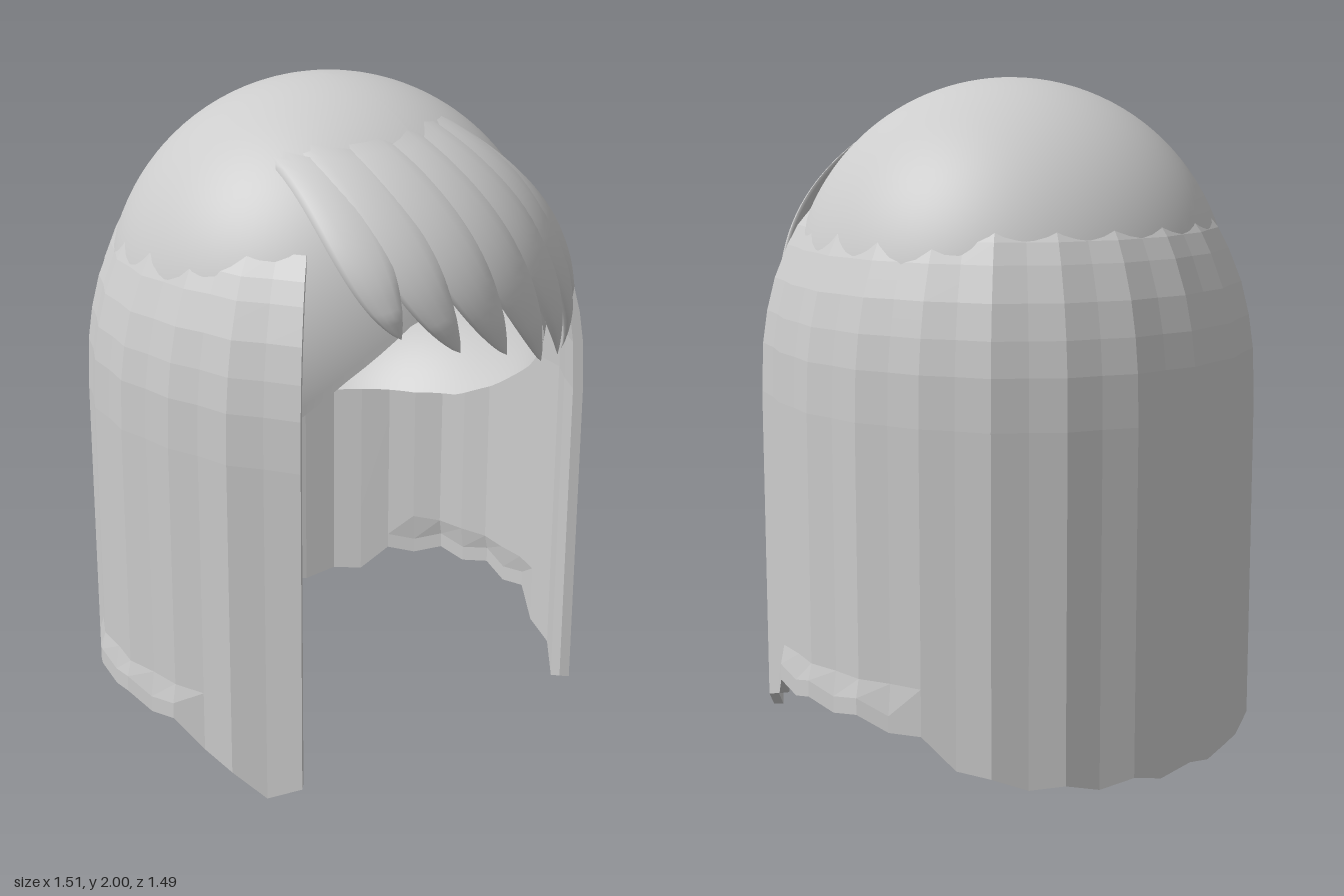
import * as THREE from 'three';

const hairGrey = new THREE.MeshStandardMaterial({ color: 0xcccccc, side: THREE.DoubleSide });
hairGrey.name = 'hair grey';

const CY = 1.33, R = 0.67; // centre height and radius of the skull cap

// Piecewise-linear lookup in a list of [key, value] pairs
function lookup(pairs, k) {
  for (let i = 1; i < pairs.length; i++) {
    const [a, va] = pairs[i - 1], [b, vb] = pairs[i];
    if (k <= b) return va + (vb - va) * Math.max(0, (k - a) / (b - a));
  }
  return pairs[pairs.length - 1][1];
}

// Grid surface from fn(i, j) -> [x, y, z]
function grid(nu, nv, fn) {
  const pos = [], idx = [];
  for (let i = 0; i <= nu; i++) for (let j = 0; j <= nv; j++) pos.push(...fn(i, j));
  for (let i = 0; i < nu; i++) for (let j = 0; j < nv; j++) {
    const a = i * (nv + 1) + j, b = a + nv + 1;
    idx.push(a, a + 1, b, b, a + 1, b + 1);
  }
  const g = new THREE.BufferGeometry();
  g.setAttribute('position', new THREE.Float32BufferAttribute(pos, 3));
  g.setIndex(idx);
  g.computeVertexNormals();
  return g;
}

// Skull cap: sphere trimmed by an arch over the face and a low rim at the nape
function capGeometry() {
  const rim = [[0, 1.5], [18, 1.43], [34, 1.28], [52, 1.09], [70, 0.96], [85, 0.89], [105, 0.86], [180, 0.82]];
  return grid(96, 40, (i, j) => {
    const deg = i * 3.75, a = THREE.MathUtils.degToRad(deg);
    const edge = Math.acos((lookup(rim, Math.min(deg, 360 - deg)) - CY) / R);
    const p = edge * j / 40;
    return [R * Math.sin(p) * Math.sin(a), CY + R * Math.cos(p), R * Math.sin(p) * Math.cos(a)];
  });
}

// Long hair: fluted thick shell wrapping the back and sides, open at the front
function curtainGeometry() {
  const hem = [[0, 0.01], [24, 0.015], [40, 0.04], [51, 0.09], [57, 0.155], [75, 0.185], [90, 0.185],
    [105, 0.175], [115, 0.1], [124, 0.03], [131, 0.005], [136, 0.06]];
  const ridge = [[0, 0.757], [40, 0.757], [56, 0.74], [90, 0.745], [106, 0.742], [120, 0.768], [136, 0.785]];
  const taper = [[1.05, 1], [1.2, 0.992], [1.3, 0.973], [1.4, 0.94], [1.5, 0.887], [1.56, 0.845], [1.62, 0.78]];
  const rows = [0, 0, 0.3, 0.65, 1.05, 1.13, 1.2, 1.25, 1.3, 1.35, 1.4, 1.45, 1.5, 1.56, 1.62];
  const n = rows.length, segs = 34;
  const g = grid(segs + 2, 2 * n, (i, j) => {
    const c = Math.min(Math.max(i - 1, 0), segs); // outer columns close the front edges
    const deg = -136 + c * 8, b = Math.abs(deg), a = THREE.MathUtils.degToRad(deg);
    const k = j % (2 * n), inner = k >= n, row = inner ? 2 * n - 1 - k : k;
    const tip = c % 2 ? -0.01 : 0.015; // zigzag hem
    const bottom = Math.max(0, lookup(hem, b) + (b < 130 ? tip : 0));
    const y = row === 0 ? bottom : row === 1 ? bottom + 0.05 : rows[row];
    let r = lookup(ridge, b) * lookup(taper, y) * (c % 2 ? 0.984 : 1);
    if (row < 2 && b > 60 && b < 112) r += 0.012; // slight flare at the sides
    const closing = i === 0 || i === segs + 2;
    r -= closing ? 0.015 : inner ? 0.03 : 0;
    return [r * Math.sin(a), y, -r * Math.cos(a)];
  }).toNonIndexed();
  g.computeVertexNormals();
  return g;
}

// One fringe lock: a tapered lens swept over the forehead, drawn in front projection
function lockGeometry([root, ctrl, tip, width]) {
  const curve = new THREE.QuadraticBezierCurve(...[root, ctrl, tip].map(p => new THREE.Vector2(...p)));
  const steps = 24, sides = 12;
  return grid(steps, sides, (i, j) => {
    const t = i / steps, a = (j % sides) / sides * Math.PI * 2;
    const p = curve.getPoint(t), d = curve.getTangent(t);
    const w = 0.5 * width * (0.85 + 0.15 * Math.sin(Math.PI * t)) * Math.pow(Math.max(0, 1 - t ** 3.2), 0.8);
    const x = p.x - d.y * w * Math.cos(a), y = p.y + d.x * w * Math.cos(a);
    const lift = 0.655 + 0.075 * Math.sin(Math.PI / 2 * Math.min(1, t * 1.4));
    const r = lift + 0.018 * Math.sin(a) * Math.min(1, (1 - t) * 6);
    return [x, y, Math.sqrt(Math.max(0.02, r * r - x * x - (y - CY) ** 2))];
  });
}

export function createModel() {
  const model = new THREE.Group();
  model.name = 'wig';
  const add = (name, geometry, parent = model) => {
    const m = new THREE.Mesh(geometry, hairGrey);
    m.name = name;
    parent.add(m);
  };

  add('skullCap', capGeometry());
  add('longHair', curtainGeometry());

  // Side-swept fringe: root, control point, tip, width
  const fringe = new THREE.Group();
  fringe.name = 'fringe';
  model.add(fringe);
  [
    [[-0.31, 1.85], [-0.37, 1.6], [-0.28, 1.41], 0.15],
    [[-0.24, 1.87], [-0.27, 1.6], [-0.11, 1.35], 0.18],
    [[-0.15, 1.88], [-0.12, 1.6], [0.06, 1.31], 0.2],
    [[-0.05, 1.88], [0.04, 1.6], [0.24, 1.24], 0.2],
    [[0.04, 1.88], [0.2, 1.62], [0.38, 1.21], 0.2],
    [[0.11, 1.87], [0.34, 1.65], [0.51, 1.17], 0.18],
    [[0.15, 1.86], [0.42, 1.62], [0.53, 1.28], 0.14],
  ].forEach((lock, i) => add('fringeLock' + (i + 1), lockGeometry(lock), fringe));

  return model;
}
